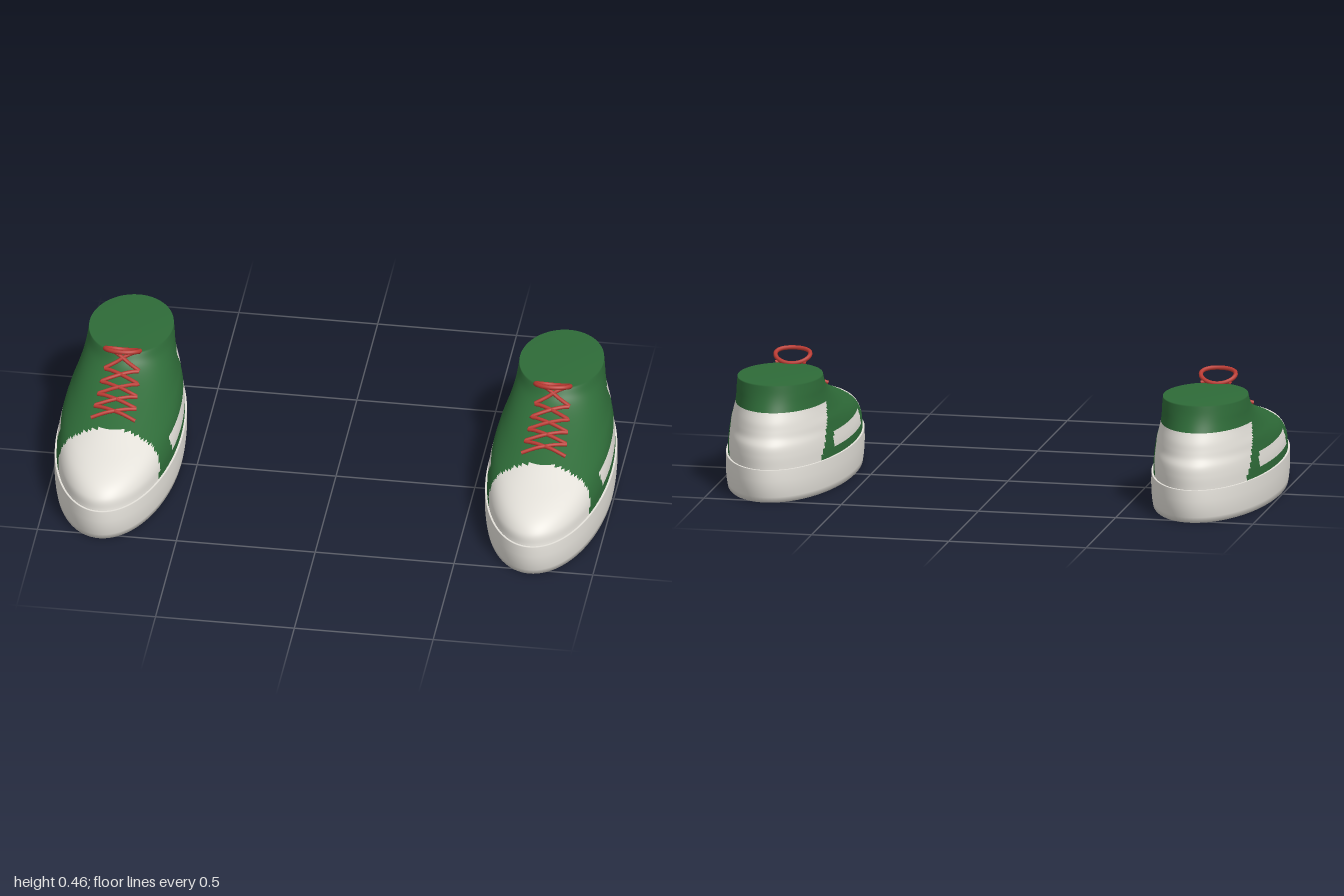
import * as THREE from 'three';

const paint = (name, color) => {
  const m = new THREE.MeshStandardMaterial({ color });
  m.name = name;
  return m;
};
const green = paint('green canvas', 0x2e6b38);
const white = paint('off-white rubber', 0xe4e1da);
const red = paint('red lace', 0xb93a32);

const SOLE_TOP = 0.12, COLLAR = 0.41;

// Upper profile by height: front z, back z, half width
const levels = [0.12, 0.165, 0.2, 0.225, 0.25, 0.278, 0.315, 0.345, 0.37, 0.41];
const profile = [
  0.53, -0.53, 0.217,
  0.518, -0.53, 0.215,
  0.475, -0.524, 0.209,
  0.41, -0.508, 0.203,
  0.32, -0.5, 0.194,
  0.225, -0.492, 0.181,
  0.105, -0.474, 0.167,
  0.02, -0.461, 0.159,
  -0.03, -0.453, 0.155,
  -0.065, -0.445, 0.15,
];
const spline = new THREE.CubicInterpolant(levels, profile, 3);
function section(y) {
  const [front, back, w] = spline.evaluate(y);
  return { c: (front + back) / 2, h: (front - back) / 2, w };
}

// Height of the upper's surface above a point
function surfaceY(x, z) {
  for (let y = COLLAR; y > SOLE_TOP; y -= 0.001) {
    const { c, h, w } = section(y);
    if (((z - c) / h) ** 2 + (x / w) ** 2 <= 1) return y;
  }
  return SOLE_TOP;
}

// Which panel covers a spot: 0 canvas, 1 rubber (toe cap, heel counter, side stripe)
function panel(y, z) {
  const up = y - SOLE_TOP;
  const toe = z > 0.295 - up * 0.42;
  const heel = y < 0.315 && z < -0.34 + up * 0.54;
  const stripe = y > 0.15 && y < 0.205 && z < 0.15 && z > -0.235;
  return toe || heel || stripe ? 1 : 0;
}

// Upper: stacked ellipses, closed at the collar, faces grouped by panel
function upperGeometry() {
  const rows = 58, cols = 192, pos = [], faces = [[], []];
  for (let i = 0; i <= rows; i++) {
    const y = SOLE_TOP + (COLLAR - SOLE_TOP) * i / rows;
    const { c, h, w } = section(y);
    for (let j = 0; j < cols; j++) {
      const t = j / cols * Math.PI * 2;
      pos.push(w * Math.sin(t), y, c + h * Math.cos(t));
    }
  }
  for (let i = 0; i < rows; i++) {
    const y = SOLE_TOP + (COLLAR - SOLE_TOP) * (i + 0.5) / rows;
    const { c, h } = section(y);
    for (let j = 0; j < cols; j++) {
      const k = (j + 1) % cols;
      const a = i * cols + j, b = i * cols + k, d = a + cols, e = b + cols;
      const z = c + h * Math.cos((j + 0.5) / cols * Math.PI * 2);
      faces[panel(y, z)].push(a, b, d, b, e, d);
    }
  }
  const centre = pos.length / 3;
  pos.push(0, COLLAR, section(COLLAR).c);
  for (let j = 0; j < cols; j++) {
    faces[0].push(centre, rows * cols + j, rows * cols + (j + 1) % cols);
  }
  const g = new THREE.BufferGeometry();
  g.setAttribute('position', new THREE.Float32BufferAttribute(pos, 3));
  g.setIndex([...faces[0], ...faces[1]]);
  g.addGroup(0, faces[0].length, 0);
  g.addGroup(faces[0].length, faces[1].length, 1);
  g.computeVertexNormals();
  return g;
}

// Sole: turned profile stretched to a long oval
function soleGeometry() {
  const points = [[0, 0], [0.972, 0], [0.985, 0.02], [0.997, 0.05], [1, 0.08],
    [0.997, 0.119], [0.994, 0.12], [0.96, 0.12], [0, 0.12]]
    .map(([r, y]) => new THREE.Vector2(r, y));
  return new THREE.LatheGeometry(points, 96).scale(0.225, 1, 0.54);
}

// Lace: zigzag over the tongue, starting on the given side
function laceGeometry(side) {
  const path = [], turns = 5, steps = 6;
  for (let n = 0; n <= turns * steps; n++) {
    const i = Math.floor(n / steps), f = n / steps - i;
    const sign = side * (i % 2 ? -1 : 1);
    const u = n / (turns * steps);
    const x = sign * (1 - 2 * f) * (0.08 - 0.022 * u);
    const z = 0.185 - 0.26 * u;
    path.push(new THREE.Vector3(x, surfaceY(x, z) + 0.008, z));
  }
  return new THREE.TubeGeometry(new THREE.CatmullRomCurve3(path), 120, 0.007, 8);
}

// Bow: tilted closed loop standing above the collar
function bowGeometry() {
  const path = [];
  for (let n = 0; n < 16; n++) {
    const t = n / 16 * Math.PI * 2, s = Math.cos(t);
    path.push(new THREE.Vector3(0.063 * Math.sin(t),
      0.431 + 0.02 * s + 0.006 * Math.sin(t) ** 2, -0.041 + 0.04 * s));
  }
  return new THREE.TubeGeometry(new THREE.CatmullRomCurve3(path, true), 64, 0.008, 8, true);
}

export function createModel() {
  const parts = [
    ['sole', soleGeometry(), white],
    ['upper', upperGeometry(), [green, white]],
    ['laceA', laceGeometry(1), red],
    ['laceB', laceGeometry(-1), red],
    ['bow', bowGeometry(), red],
  ];
  const model = new THREE.Group();
  model.name = 'pair of shoes';
  for (const [name, x] of [['leftShoe', 0.775], ['rightShoe', -0.775]]) {
    const shoe = new THREE.Group();
    shoe.name = name;
    shoe.position.x = x;
    for (const [part, geometry, material] of parts) {
      const mesh = new THREE.Mesh(geometry, material);
      mesh.name = part;
      shoe.add(mesh);
    }
    model.add(shoe);
  }
  return model;
}
